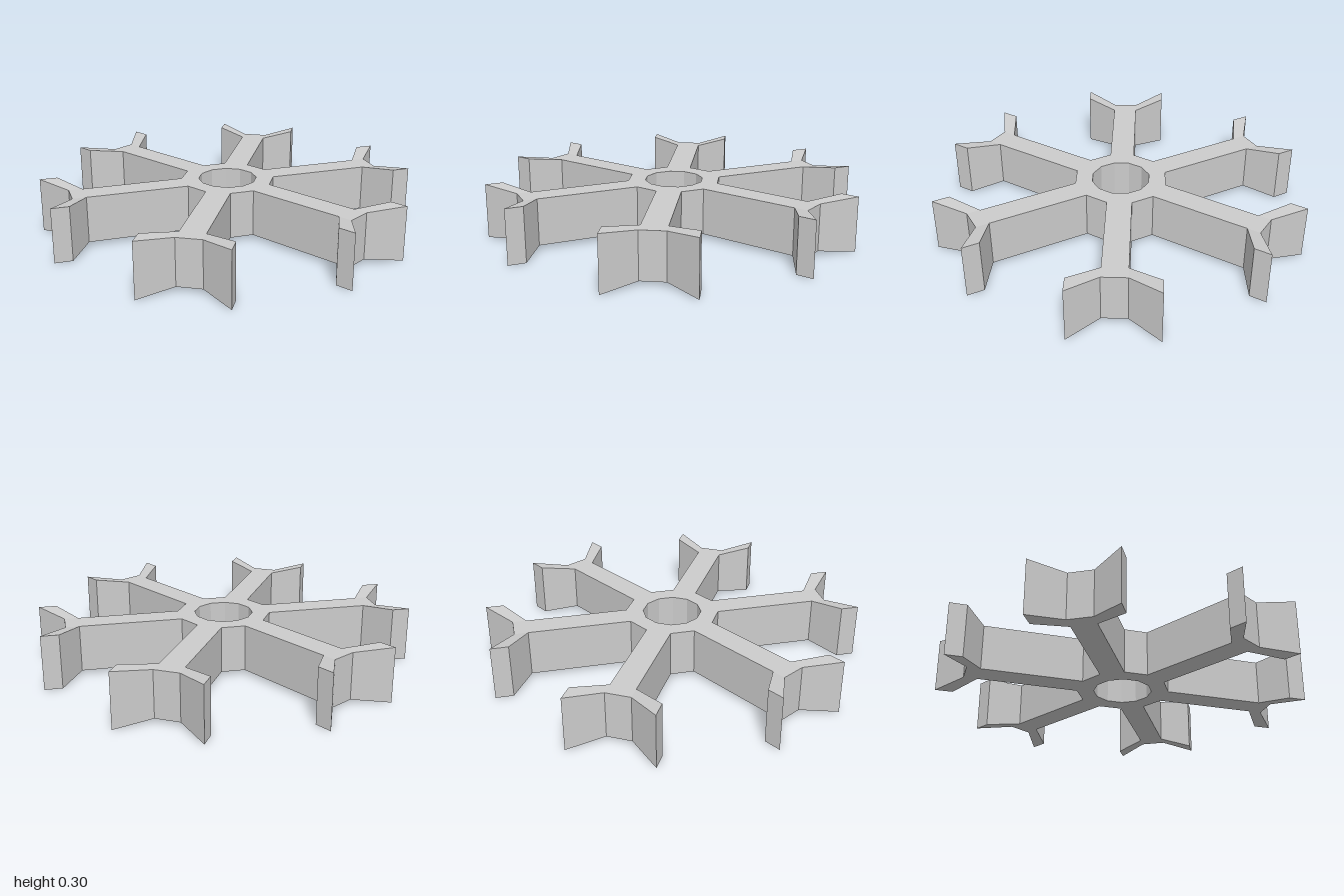
import * as THREE from 'three';

const ARMS = 6, MID = 0.149, HALF = 0.127, TIP_HALF = 0.149;

// Plan points of one sector as [x, z, half height]; lower case is the mirrored (-z) side.
const P = {
  A: [0.16 * Math.cos(Math.PI / 12), 0.16 * Math.sin(Math.PI / 12), HALF], // hub bore
  C: [0.245, 0.067, HALF],     // arm root
  D: [0.795, 0.067, HALF],     // inner start of prong
  E: [0.868, 0.067, HALF],     // arm end
  F: [0.905, 0.23, TIP_HALF],  // prong tip, inner corner
  G: [1.0, 0.23, TIP_HALF],    // prong tip, outer corner
};
for (const k of Object.keys(P)) P[k.toLowerCase()] = [P[k][0], -P[k][1], P[k][2]];

// Quads of one sector; a '+' suffix means the point of the next sector.
const PARTS = {
  hub: [['a', 'c', 'C', 'A'], ['A', 'C', 'c+', 'a+']],
  arm: [['c', 'd', 'D', 'C'], ['d', 'e', 'E', 'D']],
  leftProng: [['D', 'E', 'G', 'F']],
  rightProng: [['f', 'g', 'e', 'd']],
};

const keyOf = (name, s) => name[0] + ((s + (name[1] ? 1 : 0)) % ARMS);

// World position of a point key on the top (+1) or bottom (-1) face
function place(key, side) {
  const [x, z, h] = P[key[0]];
  const t = (Number(key.slice(1)) * Math.PI * 2) / ARMS;
  return [x * Math.cos(t) - z * Math.sin(t), MID + side * h, x * Math.sin(t) + z * Math.cos(t)];
}

// Top and bottom caps, plus walls along every edge that no other quad shares
function buildPart(quads, edges) {
  const pos = [];
  const quad = (a, b, c, d) => pos.push(...a, ...b, ...c, ...a, ...c, ...d);
  for (const q of quads) {
    quad(...q.map((k) => place(k, -1)));
    quad(...q.map((k) => place(k, 1)).reverse());
    q.forEach((p, i) => {
      const n = q[(i + 1) % 4];
      if (!edges.has(n + p)) quad(place(p, -1), place(p, 1), place(n, 1), place(n, -1));
    });
  }
  const geo = new THREE.BufferGeometry();
  geo.setAttribute('position', new THREE.Float32BufferAttribute(pos, 3));
  geo.computeVertexNormals();
  return geo;
}

export function createModel() {
  const model = new THREE.Group();
  model.name = 'snowflake';
  const material = new THREE.MeshStandardMaterial({ color: 0xcccccc, flatShading: true });

  // Collect the quads of all sectors and their directed edges
  const pieces = [];
  const edges = new Set();
  for (let s = 0; s < ARMS; s++) {
    for (const [name, list] of Object.entries(PARTS)) {
      const quads = list.map((q) => q.map((n) => keyOf(n, s)));
      quads.forEach((q) => q.forEach((p, i) => edges.add(p + q[(i + 1) % 4])));
      pieces.push({ name, quads });
    }
  }

  // The hub is one ring; arms and prongs are separate meshes
  const hubQuads = pieces.filter((p) => p.name === 'hub').flatMap((p) => p.quads);
  const parts = [{ name: 'hub', quads: hubQuads }, ...pieces.filter((p) => p.name !== 'hub')];
  for (const { name, quads } of parts) {
    const mesh = new THREE.Mesh(buildPart(quads, edges), material);
    mesh.name = name;
    model.add(mesh);
  }
  return model;
}
